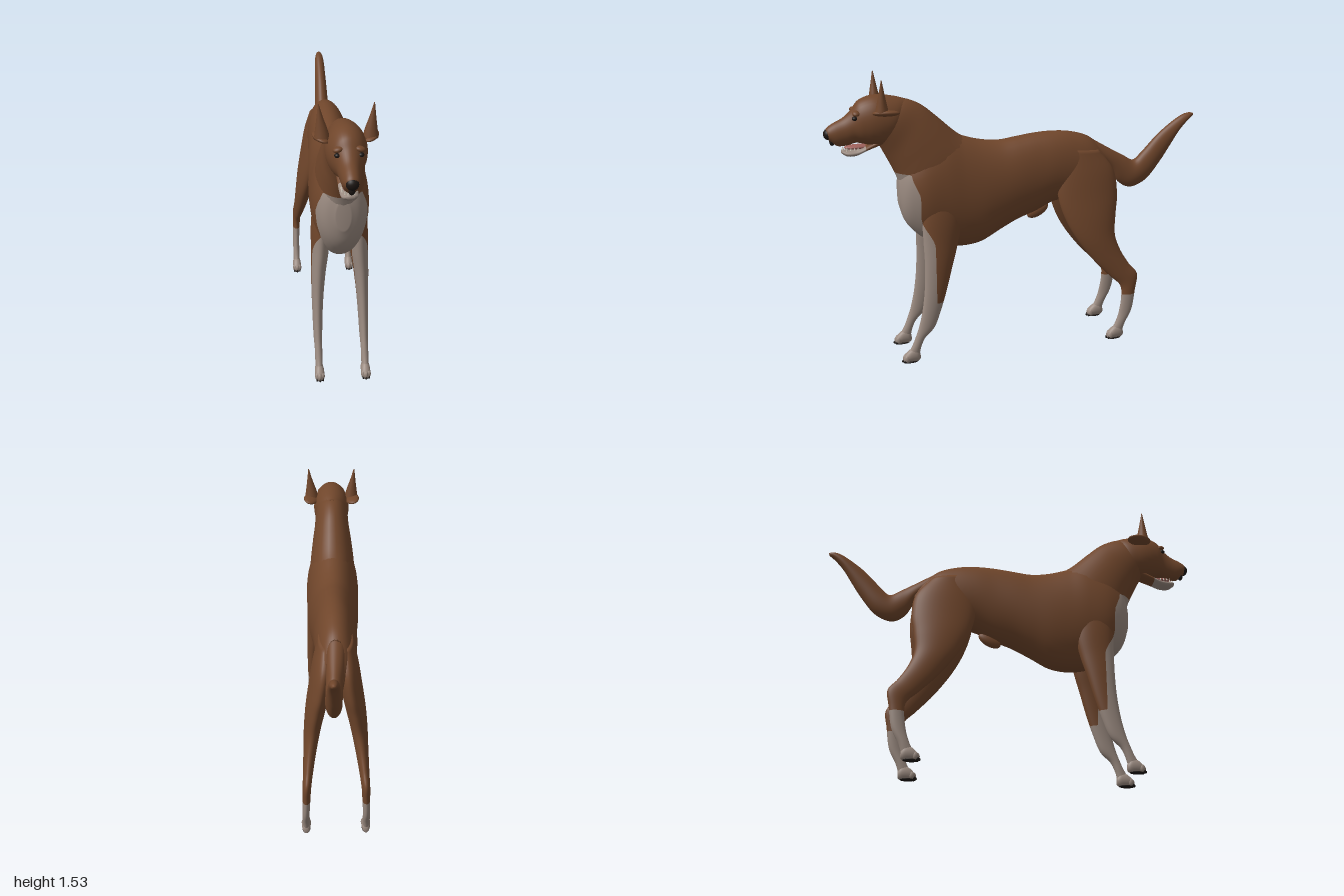
import * as THREE from 'three';

const mat = (name, color) => Object.assign(new THREE.MeshStandardMaterial({ color }), { name });

// Smooth tube through sections [zA, yA, zB, yB, halfWidth, x]; A and B are opposite rim points in profile
function loft(sections, side = 1, segs = 36, steps = 7) {
  const curve = (f) => new THREE.CatmullRomCurve3(sections.map(f), false, 'catmullrom', 0.5);
  const c1 = curve((s) => new THREE.Vector3(s[0], s[1], s[2]));
  const c2 = curve((s) => new THREE.Vector3(s[3], s[4], (s[5] || 0) * side));
  const rows = (sections.length - 1) * steps, pos = [], idx = [];
  for (let r = -1; r <= rows + 1; r++) {
    const t = Math.min(Math.max(r / rows, 0), 1);
    const k = r < 0 || r > rows ? 0 : 1; // closed ends
    const a = c1.getPoint(t), b = c2.getPoint(t);
    for (let i = 0; i < segs; i++) {
      const u = (i / segs) * Math.PI * 2, c = Math.cos(u) * k / 2;
      pos.push(b.z + Math.sin(u) * b.y * k, (a.y + b.x) / 2 + c * (a.y - b.x), (a.x + a.z) / 2 + c * (a.x - a.z));
    }
  }
  for (let r = 0; r < rows + 2; r++) {
    for (let i = 0; i < segs; i++) {
      const p = r * segs + i, q = r * segs + (i + 1) % segs;
      idx.push(p, q, p + segs, q, q + segs, p + segs);
    }
  }
  // Turn the faces outward, whichever way the sections run
  const v = (i) => new THREE.Vector3().fromArray(pos, i * 3);
  let volume = 0;
  for (let i = 0; i < idx.length; i += 3) volume += v(idx[i]).dot(v(idx[i + 1]).cross(v(idx[i + 2])));
  if (volume < 0) idx.reverse();
  const g = new THREE.BufferGeometry();
  g.setAttribute('position', new THREE.Float32BufferAttribute(pos, 3));
  g.setIndex(idx);
  g.computeVertexNormals();
  return g;
}

// Cut a geometry along field(p) = 0 into two material groups: positive side first
function split(geo, field) {
  const g = geo.toNonIndexed(), P = g.attributes.position, N = g.attributes.normal;
  const out = [{ p: [], n: [] }, { p: [], n: [] }];
  for (let i = 0; i < P.count; i += 3) {
    const tri = [0, 1, 2].map((k) => {
      const p = new THREE.Vector3().fromBufferAttribute(P, i + k);
      return { p, n: new THREE.Vector3().fromBufferAttribute(N, i + k), f: field(p) };
    });
    out.forEach((o, s) => {
      const sign = s ? -1 : 1, poly = [];
      tri.forEach((a, k) => {
        const b = tri[(k + 1) % 3];
        if (a.f * sign >= 0) poly.push(a);
        if (a.f * b.f < 0) {
          const t = a.f / (a.f - b.f);
          poly.push({ p: a.p.clone().lerp(b.p, t), n: a.n.clone().lerp(b.n, t) });
        }
      });
      for (let k = 1; k + 1 < poly.length; k++) {
        for (const w of [poly[0], poly[k], poly[k + 1]]) { o.p.push(...w.p.toArray()); o.n.push(...w.n.toArray()); }
      }
    });
  }
  const r = new THREE.BufferGeometry();
  r.setAttribute('position', new THREE.Float32BufferAttribute([...out[0].p, ...out[1].p], 3));
  r.setAttribute('normal', new THREE.Float32BufferAttribute([...out[0].n, ...out[1].n], 3));
  r.addGroup(0, out[0].p.length / 3, 0);
  r.addGroup(out[0].p.length / 3, out[1].p.length / 3, 1);
  return r;
}

export function createModel() {
  const dog = new THREE.Group();
  dog.name = 'dog';
  const coat = mat('brownCoat', 0x70462b), pale = mat('paleMarkings', 0x9a8a80), dark = mat('darkSkin', 0x1c1613);
  const pink = mat('pinkMouth', 0xa0625c), ivory = mat('ivoryTeeth', 0xd0c6b8);
  const add = (name, geo, material) => {
    const m = new THREE.Mesh(geo, material);
    m.name = name;
    dog.add(m);
    return m;
  };
  const ball = (name, material, p, s) => {
    const m = add(name, new THREE.SphereGeometry(1, 24, 16), material);
    m.position.set(...p);
    m.scale.set(...s);
    return m;
  };
  // Pale chest, fronts of the forelegs and socks
  const edge = (y) => 0.475 + 0.065 * THREE.MathUtils.smoothstep(y, 0.64, 0.8) + 0.04 * THREE.MathUtils.smoothstep(y, 0.9, 1.03);
  const bib = (p) => Math.max(0.33 - p.y, Math.min(p.z - edge(p.y), 1.03 - p.y));

  // Trunk and neck
  add('torso', split(loft([
    [-0.53, 1.0, -0.53, 0.9, 0.035], [-0.48, 1.065, -0.48, 0.84, 0.07], [-0.4, 1.135, -0.4, 0.81, 0.09],
    [-0.3, 1.168, -0.3, 0.8, 0.1], [-0.2, 1.178, -0.2, 0.79, 0.107], [-0.1, 1.175, -0.1, 0.745, 0.112],
    [0, 1.163, 0, 0.71, 0.12], [0.1, 1.152, 0.1, 0.66, 0.128], [0.2, 1.165, 0.2, 0.607, 0.136],
    [0.3, 1.195, 0.3, 0.592, 0.14], [0.4, 1.23, 0.4, 0.607, 0.143], [0.5, 1.2, 0.5, 0.65, 0.138],
    [0.57, 1.14, 0.57, 0.71, 0.115], [0.61, 1.08, 0.61, 0.77, 0.085], [0.635, 1.0, 0.635, 0.85, 0.035],
  ]), bib), [pale, coat]);
  add('neck', split(loft([
    [0.22, 1.15, 0.5, 0.75, 0.12], [0.32, 1.21, 0.6, 0.9, 0.122], [0.42, 1.3, 0.652, 1.03, 0.108],
    [0.5, 1.368, 0.685, 1.1, 0.095], [0.58, 1.405, 0.71, 1.15, 0.09], [0.66, 1.41, 0.73, 1.19, 0.085],
  ]), bib), [pale, coat]);

  // Head with open mouth
  add('head', loft([
    [0.58, 1.405, 0.6, 1.23, 0.06], [0.63, 1.42, 0.66, 1.19, 0.088], [0.7, 1.433, 0.71, 1.175, 0.097],
    [0.76, 1.433, 0.76, 1.18, 0.094], [0.82, 1.41, 0.8, 1.19, 0.08], [0.86, 1.362, 0.84, 1.198, 0.06],
    [0.9, 1.328, 0.88, 1.188, 0.05], [0.95, 1.303, 0.93, 1.187, 0.043], [0.98, 1.283, 0.96, 1.21, 0.034],
    [0.993, 1.262, 0.98, 1.225, 0.018],
  ]), coat);
  add('lowerJaw', split(loft([
    [0.71, 1.23, 0.71, 1.18, 0.05], [0.78, 1.19, 0.79, 1.153, 0.046], [0.83, 1.17, 0.84, 1.132, 0.043],
    [0.88, 1.164, 0.885, 1.131, 0.038], [0.912, 1.166, 0.914, 1.148, 0.02],
  ]), (p) => p.z - 0.795), [pale, coat]);
  ball('tongue', pink, [0, 1.176, 0.835], [0.03, 0.012, 0.065]);
  ball('nose', dark, [0, 1.25, 0.974], [0.03, 0.029, 0.025]);
  ball('noseGroove', dark, [0, 1.212, 0.957], [0.016, 0.022, 0.014]);
  for (const s of [-1, 1]) {
    for (let i = 0; i < 5; i++) {
      const tooth = add('tooth', new THREE.ConeGeometry(0.005, i === 1 ? 0.026 : 0.016, 6), ivory);
      tooth.position.set(s * (0.01 + 0.023 * Math.min(1, i / 2)), 1.174, 0.905 - i * 0.018);
    }
    ball('eye', dark, [s * 0.053, 1.333, 0.846], [0.014, 0.011, 0.014]).rotation.y = s * 0.6;
    const brow = ball('brow', coat, [s * 0.05, 1.358, 0.838], [0.024, 0.013, 0.02]);
    brow.rotation.z = -s * 0.25;

    // Upright ears over folded bases
    add('ear', loft([
      [0.755, 1.365, 0.685, 1.365, 0.037, 0.11], [0.745, 1.41, 0.695, 1.41, 0.028, 0.113],
      [0.733, 1.47, 0.707, 1.47, 0.014, 0.12], [0.722, 1.53, 0.718, 1.53, 0.002, 0.126],
    ], s, 16), coat);
    const fold = ball('earFold', coat, [s * 0.113, 1.363, 0.7], [0.04, 0.016, 0.068]);
    fold.rotation.z = s * 0.25;
    fold.rotation.y = -s * 0.2;

    // Legs
    add('frontLeg', split(loft([
      [0.5, 1.0, 0.32, 0.95, 0.04, 0.08], [0.53, 0.82, 0.32, 0.78, 0.05, 0.09], [0.53, 0.66, 0.352, 0.63, 0.044, 0.099],
      [0.528, 0.55, 0.383, 0.52, 0.037, 0.108], [0.533, 0.42, 0.415, 0.4, 0.03, 0.114],
      [0.548, 0.3, 0.452, 0.28, 0.025, 0.117], [0.568, 0.21, 0.488, 0.19, 0.022, 0.118],
      [0.588, 0.15, 0.54, 0.135, 0.019, 0.118], [0.608, 0.1, 0.563, 0.085, 0.019, 0.118],
      [0.63, 0.06, 0.575, 0.035, 0.018, 0.118],
    ], s), bib), [pale, coat]);
    add('hindLeg', split(loft([
      [-0.25, 1.09, -0.44, 1.07, 0.035, 0.05], [-0.205, 0.95, -0.525, 0.96, 0.054, 0.06],
      [-0.212, 0.82, -0.543, 0.83, 0.055, 0.08], [-0.25, 0.7, -0.53, 0.72, 0.052, 0.1],
      [-0.31, 0.59, -0.522, 0.61, 0.044, 0.118], [-0.4, 0.47, -0.55, 0.52, 0.034, 0.132],
      [-0.49, 0.375, -0.6, 0.435, 0.026, 0.143], [-0.55, 0.315, -0.648, 0.372, 0.022, 0.15],
      [-0.56, 0.25, -0.638, 0.28, 0.02, 0.153], [-0.548, 0.16, -0.621, 0.17, 0.018, 0.156],
      [-0.53, 0.1, -0.583, 0.09, 0.019, 0.157], [-0.51, 0.06, -0.565, 0.035, 0.018, 0.157],
    ], s), (p) => 0.26 - p.y), [pale, coat]);

    // Paws with toes, claws and pads
    for (const [kind, x, z] of [['front', 0.118, 0.57], ['hind', 0.157, -0.57]]) {
      add(kind + 'Paw', loft([
        [z, 0.05, z, 0.015, 0.012, x], [z + 0.02, 0.078, z + 0.015, 0.004, 0.021, x], [z + 0.05, 0.075, z + 0.05, 0.004, 0.024, x],
        [z + 0.075, 0.055, z + 0.08, 0.004, 0.021, x], [z + 0.09, 0.035, z + 0.09, 0.01, 0.012, x],
      ], s, 20, 4), pale);
      ball(kind + 'Pad', dark, [s * x, 0.007, z + 0.05], [0.021, 0.007, 0.04]);
      for (const k of [-1, 0, 1]) {
        const front = z + 0.08 - Math.abs(k) * 0.008;
        ball('toe', pale, [s * x + k * 0.015, 0.028, front], [0.01, 0.02, 0.015]);
        ball('claw', dark, [s * x + k * 0.015, 0.013, front + 0.012], [0.005, 0.008, 0.008]);
      }
    }
  }

  // Curved tail and sheath
  add('tail', loft([
    [-0.42, 1.12, -0.47, 1.0, 0.045, 0], [-0.52, 1.06, -0.53, 0.94, 0.044, 0.005], [-0.6, 1.015, -0.575, 0.868, 0.042, 0.01],
    [-0.66, 0.985, -0.645, 0.833, 0.042, 0.014], [-0.71, 1.025, -0.735, 0.87, 0.04, 0.015],
    [-0.79, 1.11, -0.815, 0.968, 0.035, 0.017], [-0.86, 1.168, -0.868, 1.05, 0.031, 0.018],
    [-0.93, 1.214, -0.915, 1.125, 0.027, 0.019], [-0.975, 1.227, -0.96, 1.178, 0.02, 0.02],
    [-1.0, 1.222, -0.993, 1.205, 0.008, 0.02],
  ]), coat);
  ball('sheath', coat, [0, 0.745, -0.12], [0.022, 0.033, 0.065]).rotation.x = 0.5;
  return dog;
}
